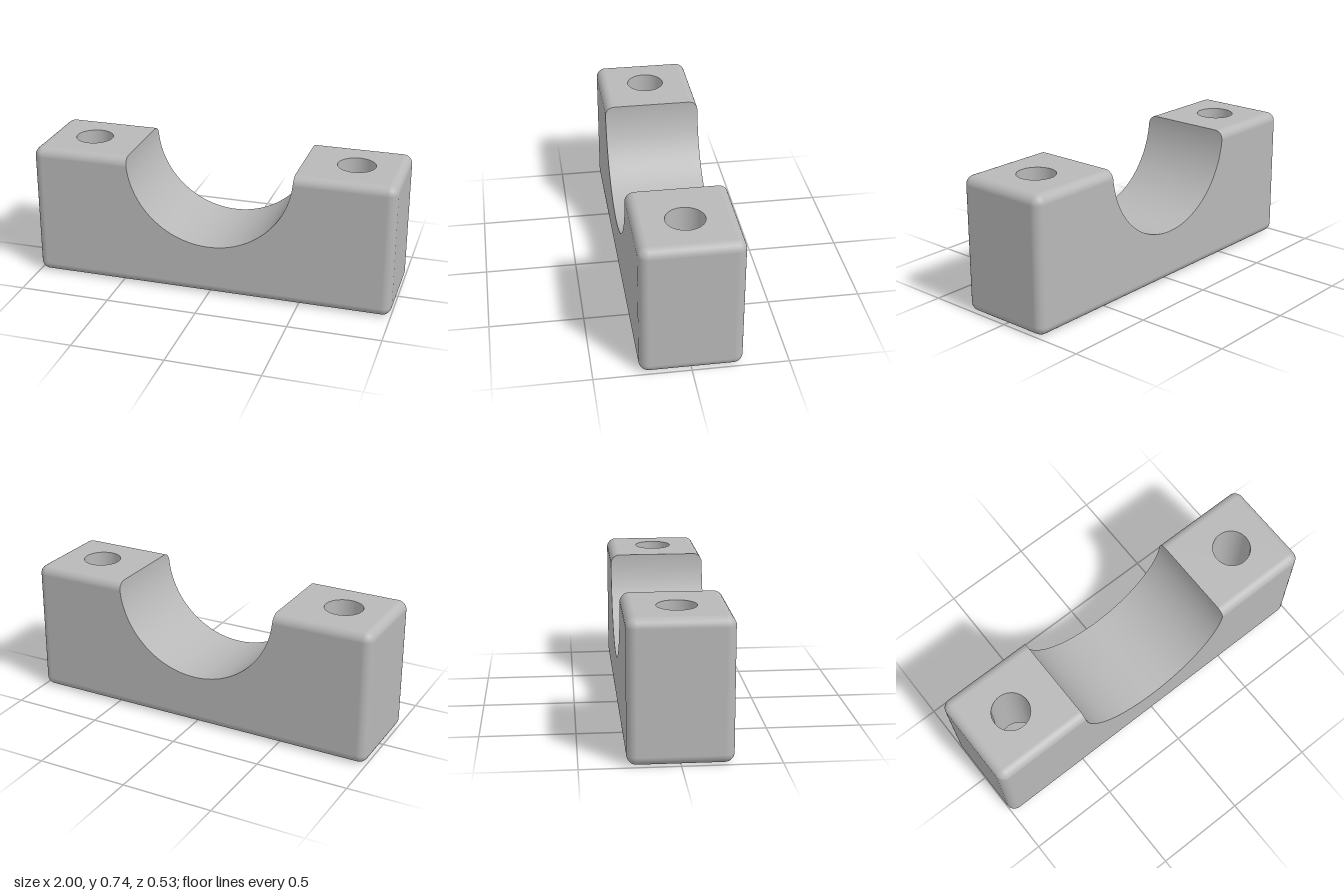
import * as THREE from 'three';

const L = 1, H = 0.74, W = 0.265;          // half length, height, half width
const F = 0.05, R = 0.46;                  // edge fillet, saddle radius
const HOLE_X = 0.74, HOLE_R = 0.102, BORE_R = 0.196, BORE_D = 0.21;
const N = 8, ARC = 64;

// Outer outline of a slice inset by t, clockwise from the right saddle lip to the left one
function outline(t) {
  const xs = Math.sqrt(R * R - t * t), r = F - t, pts = [[xs, H - t]];
  const corners = [[L - F, H - F, 90], [L - F, F, 0], [F - L, F, -90], [F - L, H - F, -180]];
  for (const [cx, cy, start] of corners)
    for (let k = 0; k <= N; k++) {
      const a = THREE.MathUtils.degToRad(start - 90 * k / N);
      pts.push([cx + r * Math.cos(a), cy + r * Math.sin(a)]);
    }
  pts.push([-xs, H - t]);
  return pts;
}

// Saddle arc of a slice, left lip to right lip
function saddleArc(t) {
  const a0 = Math.asin(t / R), pts = [];
  for (let k = 0; k <= ARC; k++) {
    const a = Math.PI + a0 + (Math.PI - 2 * a0) * k / ARC;
    pts.push([R * Math.cos(a), H + R * Math.sin(a)]);
  }
  return pts;
}

// Slices from back to front: z and inset
const slices = [];
for (let k = 0; k <= N; k++) {
  const a = Math.PI / 2 * k / N;
  slices.push({ z: W - F + F * Math.sin(a), t: F * (1 - Math.cos(a)) });
}
slices.unshift(...slices.map(s => ({ z: -s.z, t: s.t })).reverse());

// Skin a section function across the slices
function skin(section, normalAt, skip = () => false) {
  const pos = [], nor = [], idx = [];
  let n = 0;
  slices.forEach(({ z, t }) => {
    const pts = section(t);
    n = pts.length;
    for (const [x, y] of pts) {
      pos.push(x, y, z);
      nor.push(...normalAt(x, y, z).normalize().toArray());
    }
  });
  for (let j = 0; j < slices.length - 1; j++)
    for (let i = 0; i < n - 1; i++) {
      if (skip(i, j, n)) continue;
      const a = j * n + i, b = a + 1, c = a + n, d = c + 1;
      idx.push(a, c, b, b, c, d);
    }
  const g = new THREE.BufferGeometry();
  g.setAttribute('position', new THREE.Float32BufferAttribute(pos, 3));
  g.setAttribute('normal', new THREE.Float32BufferAttribute(nor, 3));
  g.setIndex(idx);
  return g;
}

// Flat rectangle in x and z with round holes
function plate(x0, x1, holes, radius) {
  const w = W - F, s = new THREE.Shape();
  s.moveTo(x0, -w).lineTo(x1, -w).lineTo(x1, w).lineTo(x0, w).closePath();
  for (const x of holes) s.holes.push(new THREE.Path().absarc(x, 0, radius, 0, Math.PI * 2, true));
  return new THREE.ShapeGeometry(s, 24);
}

export function createModel() {
  const group = new THREE.Group();
  const metal = new THREE.MeshStandardMaterial({ color: 0xb8b8b8 });
  metal.name = 'grey metal';
  const add = (name, geometry) => {
    const m = new THREE.Mesh(geometry, metal);
    m.name = name;
    group.add(m);
    return m;
  };

  // Rounded body sides; the flat top and bottom are left open for the drilled plates
  const clamp = THREE.MathUtils.clamp;
  add('bodySides', skin(outline,
    (x, y, z) => new THREE.Vector3(
      x - clamp(x, F - L, L - F), y - clamp(y, F, H - F), z - clamp(z, F - W, W - F)),
    (i, j, n) => j === N && (i === 0 || i === n - 2 || i === 2 * (N + 1))));

  // Half-round saddle
  add('saddle', skin(saddleArc, (x, y) => new THREE.Vector3(-x, H - y, 0)));

  // Front and back faces
  const face = new THREE.Shape([...outline(F), ...saddleArc(F).slice(1, -1)]
    .filter((p, i, all) => !i || Math.hypot(p[0] - all[i - 1][0], p[1] - all[i - 1][1]) > 1e-6)
    .map(p => new THREE.Vector2(...p)));
  add('frontFace', new THREE.ShapeGeometry(face)).position.z = W;
  const back = add('backFace', new THREE.ShapeGeometry(face));
  back.rotation.y = Math.PI;
  back.position.z = -W;

  // Underside with two counterbore openings
  add('underside', plate(F - L, L - F, [-HOLE_X, HOLE_X], BORE_R)).rotation.x = Math.PI / 2;

  // Top pads and stepped bolt holes on both sides
  const steps = [
    ['boltHole', [HOLE_R, H], [HOLE_R, BORE_D]],
    ['counterboreSeat', [HOLE_R, BORE_D], [BORE_R, BORE_D]],
    ['counterbore', [BORE_R, BORE_D], [BORE_R, 0]],
  ];
  for (const [side, s] of [['left', 1], ['right', -1]]) {
    const [x0, x1] = s > 0 ? [R, L - F] : [F - L, -R];
    const top = add(side + 'TopPad', plate(x0, x1, [s * HOLE_X], HOLE_R));
    top.rotation.x = -Math.PI / 2;
    top.position.y = H;
    for (const [name, a, b] of steps)
      add(side + name[0].toUpperCase() + name.slice(1),
        new THREE.LatheGeometry([new THREE.Vector2(...a), new THREE.Vector2(...b)], 48))
        .position.x = s * HOLE_X;
  }
  return group;
}
